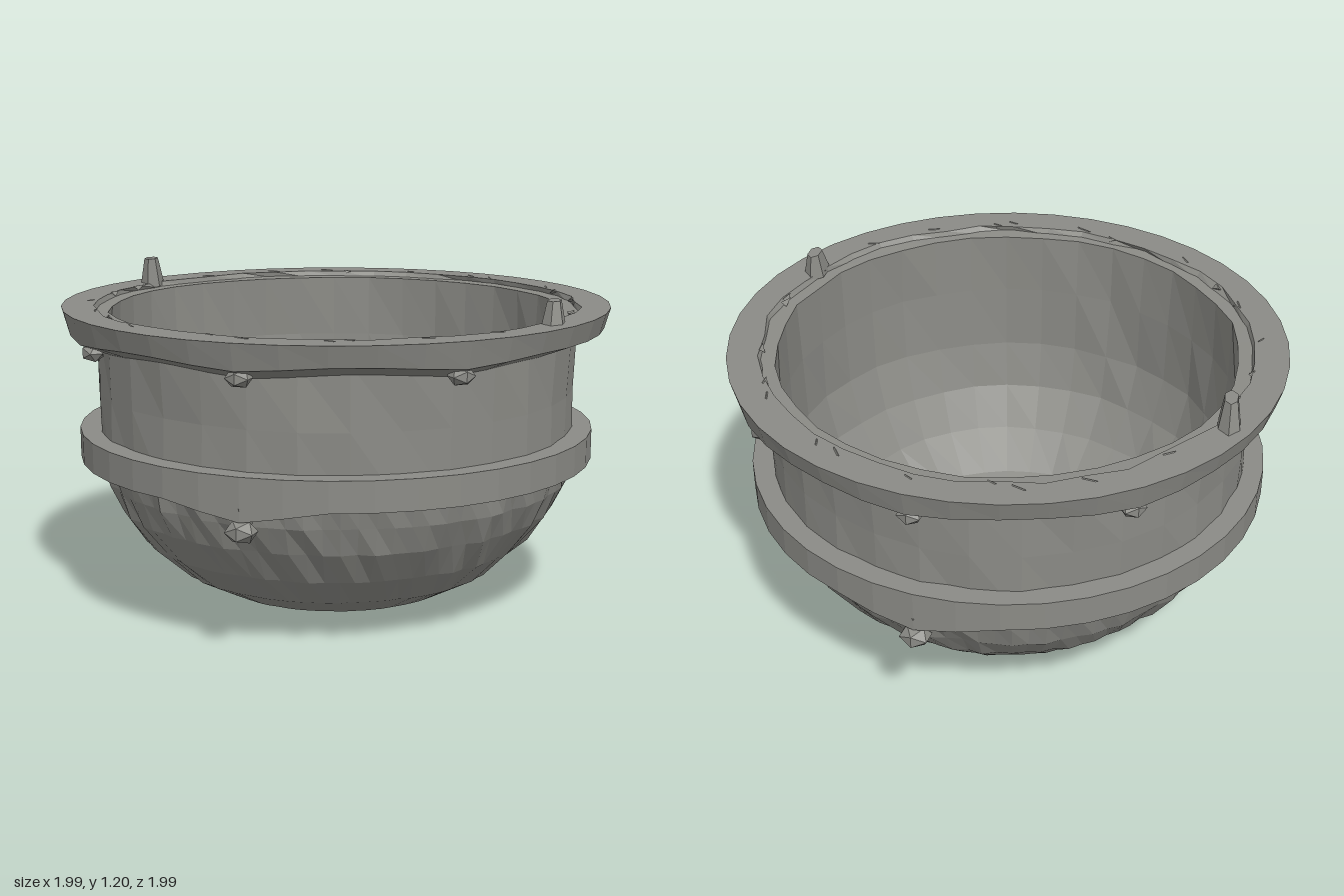
import * as THREE from 'three';

const stone = new THREE.MeshStandardMaterial({ color: 0x8b8b86 });
stone.name = 'weathered grey';

// Repeatable noise in -1..1 from a position, so shared corners move together
function noise(x, y, z) {
  const r = (v) => Math.round(v * 1000);
  const s = Math.sin(r(x) * 12.9898 + r(y) * 78.233 + r(z) * 37.719) * 43758.5453;
  return (s - Math.floor(s)) * 2 - 1;
}

// Moves each vertex by a rule, then gives every face its own flat normal
function faceted(geometry, rule) {
  const p = geometry.attributes.position;
  const v = new THREE.Vector3();
  for (let i = 0; i < p.count; i++) {
    v.fromBufferAttribute(p, i);
    if (rule) rule(v);
    p.setXYZ(i, v.x, v.y, v.z);
  }
  const flat = geometry.index ? geometry.toNonIndexed() : geometry;
  flat.computeVertexNormals();
  return flat;
}

function scaleRadius(v, amount) {
  const r = Math.hypot(v.x, v.z);
  if (r < 0.01) return;
  v.x *= 1 + amount / r;
  v.z *= 1 + amount / r;
}

const rough = (amount) => (v) => scaleRadius(v, noise(v.x, v.y, v.z) * amount);

// Local drop around the given angles, used where studs hang
function sag(v, angles, width) {
  const a = Math.atan2(v.x, v.z);
  let drop = 0;
  for (const t of angles) {
    const d = Math.abs(Math.atan2(Math.sin(a - t), Math.cos(a - t)));
    drop = Math.max(drop, 1 - d / width);
  }
  return drop;
}

export function createModel() {
  const group = new THREE.Group();

  function add(name, geometry) {
    const mesh = new THREE.Mesh(geometry, stone);
    mesh.name = name;
    group.add(mesh);
    return mesh;
  }

  function lathe(name, profile, segments, rule) {
    const points = profile.map(([r, y]) => new THREE.Vector2(r, y));
    return add(name, faceted(new THREE.LatheGeometry(points, segments), rule));
  }

  const studAngles = [-1, 0, 1, 3, 4, 5].map((k) => k * Math.PI / 4);
  const bandAngles = [0, Math.PI];

  // Rounded underside, chiselled with vertical streaks that fade to the base
  lathe('bowlUnderside', [
    [0, 0.004], [0.22, 0.012], [0.45, 0.06], [0.6, 0.14], [0.72, 0.25],
    [0.805, 0.37], [0.85, 0.47], [0.87, 0.57],
  ], 88, (v) => {
    const streak = Math.min(1, v.y / 0.3) * 0.013;
    scaleRadius(v, noise(v.x, v.y, v.z) * streak - streak * 0.3);
  });

  // Upright outer wall
  lathe('outerWall', [[0.868, 0.55], [0.868, 0.8], [0.872, 1.02]], 32, rough(0.007));

  // Hollow interior, top to bottom
  lathe('interior', [
    [0.89, 1.088], [0.825, 1.085], [0.825, 0.85], [0.815, 0.6], [0.77, 0.42],
    [0.68, 0.27], [0.54, 0.15], [0.34, 0.08], [0, 0.055],
  ], 36, rough(0.008));

  // Flared rim with a slightly worn inner edge
  lathe('rim', [
    [0.86, 0.985], [0.975, 1.03], [0.997, 1.105], [0.88, 1.105], [0.87, 1.08],
  ], 40, (v) => {
    const r = Math.hypot(v.x, v.z);
    if (r < 0.9 && v.y > 1.05) scaleRadius(v, noise(v.x, v.y, v.z) * 0.014);
    if (v.y < 1.05) v.y -= 0.02 * Math.max(0, sag(v, studAngles, 0.3));
  });

  // Girdle, drooping at the front and back
  lathe('girdle', [
    [0.84, 0.552], [0.942, 0.552], [0.942, 0.66], [0.85, 0.66],
  ], 40, (v) => {
    if (v.y < 0.6) v.y -= 0.045 * Math.max(0, sag(v, bandAngles, 0.3));
  });

  function stud(name, angle, radius, y, size) {
    const mesh = add(name, faceted(new THREE.IcosahedronGeometry(size, 0)));
    mesh.scale.set(1, 0.72, 0.9);
    mesh.position.set(Math.sin(angle) * radius, y, Math.cos(angle) * radius);
    mesh.rotation.y = angle;
  }

  // Studs below the rim and below the girdle
  studAngles.forEach((a) => stud('rimStud', a, 0.93, 0.982, 0.048));
  bandAngles.forEach((a) => {
    stud('girdleStud', a, 0.925, 0.473, 0.058);
    const stem = add('girdleStudStem', faceted(new THREE.CylinderGeometry(0.045, 0.025, 0.07, 6)));
    stem.position.set(0, 0.52, Math.cos(a) * 0.9);
  });

  // Broken handle stumps on opposite sides of the rim
  for (const [x, z, height, turn] of [[-0.87, -0.27, 0.11, 0.2], [0.865, 0.255, 0.09, 0.1]]) {
    const stump = add('handleStump',
      faceted(new THREE.CylinderGeometry(0.045, 0.08, height, 6), (v) => {
        if (v.y > 0) v.z += Math.sign(z) * -0.015;
      }));
    stump.scale.x = 0.55;
    stump.position.set(x, 1.09 + height / 2, z);
    stump.rotation.y = turn;
  }

  // Small chips scattered along the inner edge of the rim
  for (let i = 0; i < 26; i++) {
    const angle = (i + noise(i, 1, 2) * 0.45) * Math.PI * 2 / 26;
    const radius = 0.885 + noise(i, 3, 4) * 0.025;
    const chip = add('rimChip', faceted(new THREE.TetrahedronGeometry(0.022, 0)));
    chip.scale.set(1.6 + noise(i, 5, 6) * 0.7, 0.6, 0.8);
    chip.position.set(Math.sin(angle) * radius, 1.1, Math.cos(angle) * radius);
    chip.rotation.y = angle + noise(i, 7, 8) * 0.3;
  }

  return group;
}
